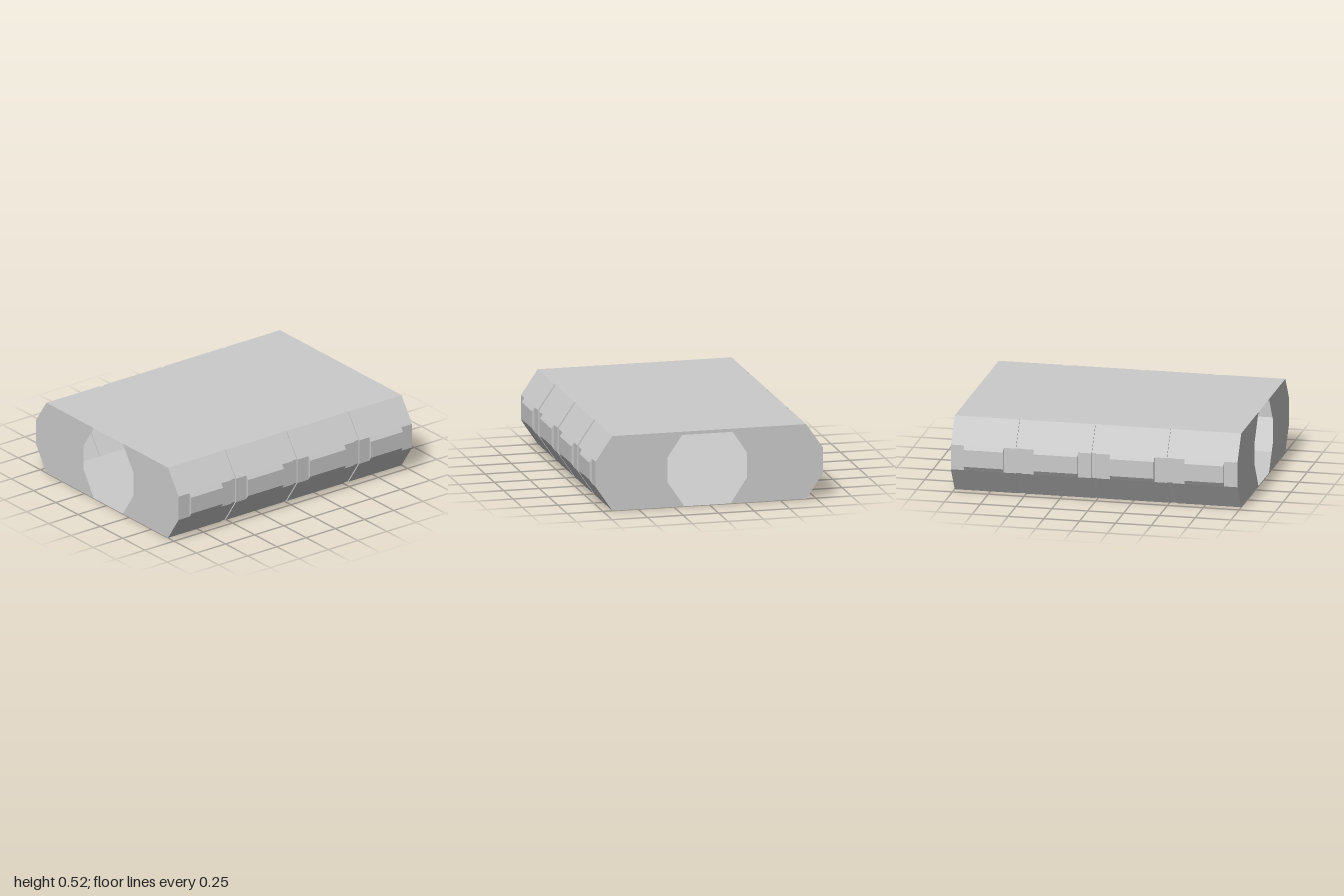
import * as THREE from 'three';

const material = new THREE.MeshStandardMaterial({
  color: 0xcccccc, flatShading: true, side: THREE.DoubleSide,
});
const H = 0.523;

// Skin a list of {ring, z} sections, leaving out triangles without area.
function loft(sections) {
  const pos = [];
  const triangle = (...corners) => {
    if (new THREE.Triangle(...corners).getArea() < 1e-7) return;
    for (const p of corners) pos.push(p.x, p.y, p.z);
  };
  for (let s = 0; s < sections.length - 1; s++) {
    const A = sections[s], B = sections[s + 1], n = A.ring.length;
    for (let i = 0; i < n; i++) {
      const j = (i + 1) % n;
      const a = new THREE.Vector3(...A.ring[i], A.z), b = new THREE.Vector3(...A.ring[j], A.z);
      const c = new THREE.Vector3(...B.ring[j], B.z), d = new THREE.Vector3(...B.ring[i], B.z);
      triangle(a, b, c);
      triangle(a, c, d);
    }
  }
  const g = new THREE.BufferGeometry();
  g.setAttribute('position', new THREE.Float32BufferAttribute(pos, 3));
  g.computeVertexNormals();
  return g;
}

// Hull outline: half width at top (a), at the shoulders (b) and at the side band (c).
function outline(a, b, c) {
  const side = [[a, 0], [b, 0.175], [c, 0.203], [c, 0.322], [b, 0.35], [a, H]];
  return [...side, ...side.map(([x, y]) => [-x, y]).reverse()];
}
const wall = outline(0.682, 0.801, 0.801);
const panel = outline(0.682, 0.801, 0.819);
const groove = outline(0.672, 0.79, 0.79);

function add(group, name, geometry) {
  const mesh = new THREE.Mesh(geometry, material);
  mesh.name = name;
  group.add(mesh);
}

export function createModel() {
  const group = new THREE.Group();
  group.name = 'corridorSegment';

  // Hollow hull: plain wall interrupted by raised side panels and narrow grooves
  const spans = [[-0.018, 0.018, groove]];
  for (const [z0, z1, ring] of [[0.112, 0.42, panel], [0.507, 0.547, groove], [0.633, 0.907, panel]]) {
    spans.push([z0, z1, ring], [-z1, -z0, ring]);
  }
  spans.sort((p, q) => p[0] - q[0]);
  const sections = [{ ring: wall, z: -1 }];
  for (const [z0, z1, ring] of spans) {
    sections.push({ ring: wall, z: z0 }, { ring, z: z0 }, { ring, z: z1 }, { ring: wall, z: z1 });
  }
  sections.push({ ring: wall, z: 1 });
  add(group, 'hull', loft(sections));

  // Thin end faces either side of the octagonal openings
  const halves = {
    left: [...wall.slice(0, 6), [0.175, H], [0.294, 0.35], [0.294, 0.175], [0.175, 0]],
    right: [...wall.slice(6), [-0.15, 0], [-0.265, 0.175], [-0.265, 0.35], [-0.15, H]],
  };
  for (const [side, points] of Object.entries(halves)) {
    const shape = new THREE.Shape(points.map(([x, y]) => new THREE.Vector2(x, y)));
    add(group, side + 'FrontFace', new THREE.ShapeGeometry(shape).translate(0, 0, 1));
    const mirrored = new THREE.Shape(points.map(([x, y]) => new THREE.Vector2(-x, y)));
    add(group, side + 'BackFace', new THREE.ShapeGeometry(mirrored).rotateY(Math.PI).translate(0, 0, -1));
  }
  return group;
}
